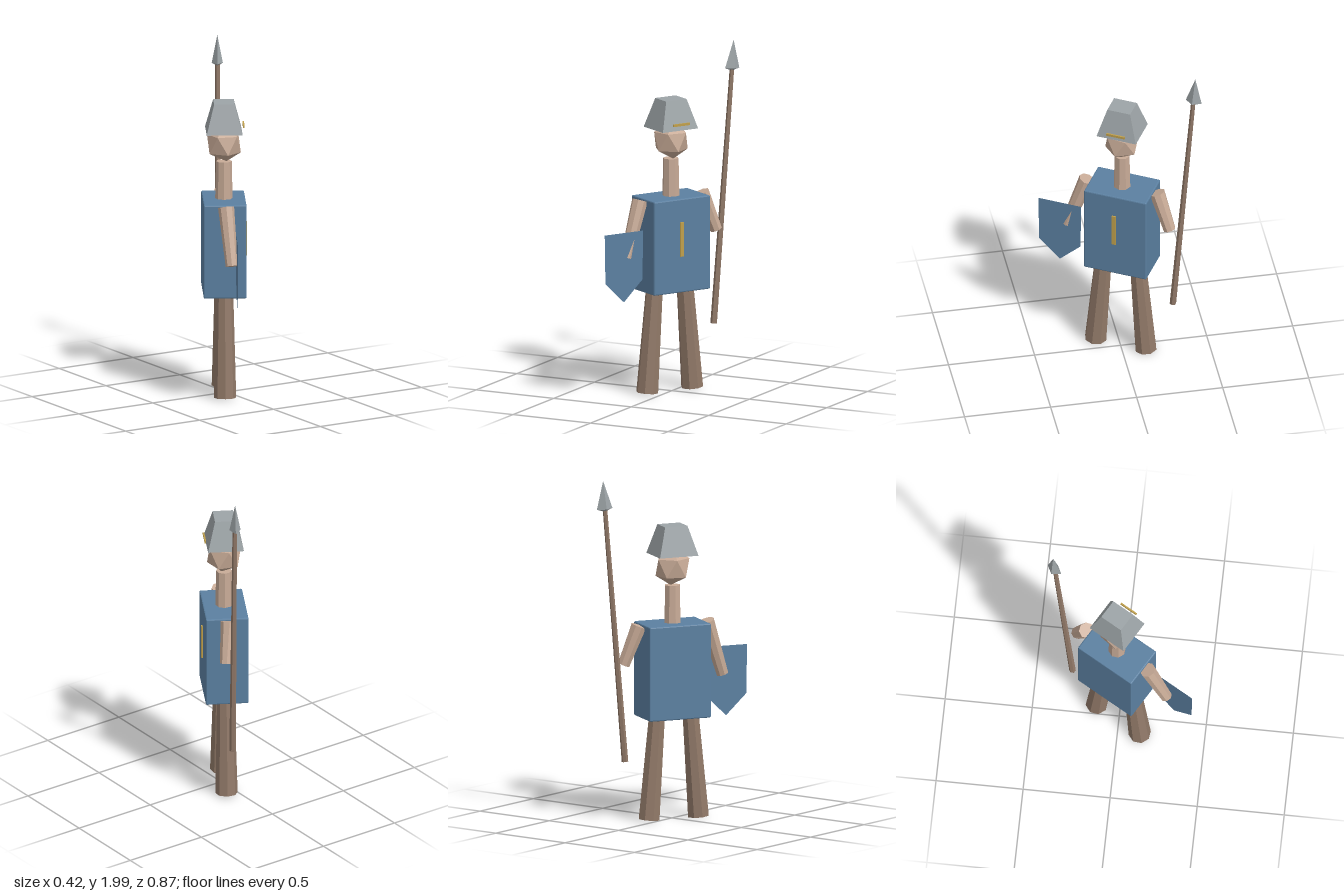
import * as THREE from 'three';
import { RoundedBoxGeometry } from 'three/addons/geometries/RoundedBoxGeometry.js';
import { ConvexGeometry } from 'three/addons/geometries/ConvexGeometry.js';

const V = (x, y, z) => new THREE.Vector3(x, y, z);

function material(name, color, extra = {}) {
  const m = new THREE.MeshStandardMaterial({ color, flatShading: true, ...extra });
  m.name = name;
  return m;
}

export function createModel() {
  const root = new THREE.Group();
  root.name = 'guard';
  // The figure stands turned towards its left
  const figure = new THREE.Group();
  figure.name = 'figure';
  figure.rotation.y = Math.PI / 3;
  figure.position.set(-0.012, 0, -0.011);
  root.add(figure);

  const blue = material('blue', 0x5b80a1);
  const shieldBlue = material('shieldBlue', 0x5b80a1, { side: THREE.DoubleSide });
  const skin = material('skin', 0xc8ab97);
  const wood = material('brown', 0x927a69);
  const steel = material('steel', 0x9da4a7);
  const brass = material('brass', 0xc0a04c);

  function add(name, geometry, mat, x = 0, y = 0, z = 0) {
    const mesh = new THREE.Mesh(geometry, mat);
    mesh.name = name;
    mesh.position.set(x, y, z);
    figure.add(mesh);
    return mesh;
  }

  // Tapered rod between two points
  function limb(name, top, bottom, rTop, rBottom, sides, mat) {
    const axis = top.clone().sub(bottom);
    const mesh = add(name, new THREE.CylinderGeometry(rTop, rBottom, axis.length(), sides), mat);
    mesh.position.copy(top).add(bottom).multiplyScalar(0.5);
    mesh.quaternion.setFromUnitVectors(V(0, 1, 0), axis.normalize());
    return mesh;
  }

  // Torso and its brass strip
  add('torso', new RoundedBoxGeometry(0.378, 0.547, 0.245, 1, 0.007), blue, 0, 0.872, 0);
  add('chestStrip', new THREE.BoxGeometry(0.025, 0.2, 0.009), brass, -0.005, 0.91, 0.126);

  // Legs and neck
  for (const [name, s] of [['leftLeg', 1], ['rightLeg', -1]]) {
    limb(name, V(s * 0.103 - 0.008, 0.62, 0), V(s * 0.152 - 0.008, 0.011, 0), 0.049, 0.064, 8, wood);
  }
  limb('neck', V(0, 1.363, 0), V(0, 1.14, 0), 0.045, 0.05, 8, skin);

  // Arms
  limb('rightArm', V(-0.212, 1.14, 0.004), V(-0.322, 0.82, 0.032), 0.046, 0.035, 8, skin);
  limb('leftArm', V(0.21, 1.14, -0.006), V(0.294, 0.915, 0.018), 0.046, 0.036, 8, skin);

  // Faceted head: two five-point rings between two poles
  const headPoints = [V(0.006, -0.11, 0.015), V(0, 0.11, 0)];
  for (let i = 0; i < 5; i++) {
    for (const [start, y] of [[60, 0.048], [24, -0.055]]) {
      const a = THREE.MathUtils.degToRad(start + 72 * i);
      headPoints.push(V(Math.cos(a) * 0.097, y, Math.sin(a) * 0.097));
    }
  }
  add('head', new ConvexGeometry(headPoints), skin, 0, 1.47, 0);

  // Helmet: a box narrowed at the top, with a brass bar in front
  const helmet = new THREE.BoxGeometry(0.238, 0.17, 0.206);
  const p = helmet.attributes.position;
  for (let i = 0; i < p.count; i++) {
    if (p.getY(i) > 0) p.setXYZ(i, p.getX(i) * 0.58, p.getY(i), p.getZ(i) * 0.57);
  }
  helmet.computeVertexNormals();
  add('helmet', helmet, steel, 0, 1.625, 0);
  add('helmetBar', new THREE.BoxGeometry(0.11, 0.014, 0.009), brass, 0, 1.576, 0.112);

  // Flat pointed shield
  const outline = new THREE.Shape();
  outline.moveTo(-0.13, 0.975);
  outline.lineTo(-0.125, 0.69);
  outline.lineTo(0, 0.57);
  outline.lineTo(0.125, 0.69);
  outline.lineTo(0.13, 0.975);
  add('shield', new THREE.ShapeGeometry(outline), shieldBlue, -0.356, 0, 0.061);

  // Spear shaft and flat four-sided point
  limb('spearShaft', V(0.425, 1.84, -0.019), V(0.301, 0.36, -0.019), 0.013, 0.019, 6, wood);
  const point = new THREE.LatheGeometry(
    [[0, -0.018], [0.048, 0], [0, 0.163]].map(([x, y]) => new THREE.Vector2(x, y)), 4);
  point.scale(1, 1, 0.67);
  const spearPoint = add('spearPoint', point, steel, 0.427, 1.837, -0.02);
  spearPoint.rotation.z = -0.06;

  return root;
}
